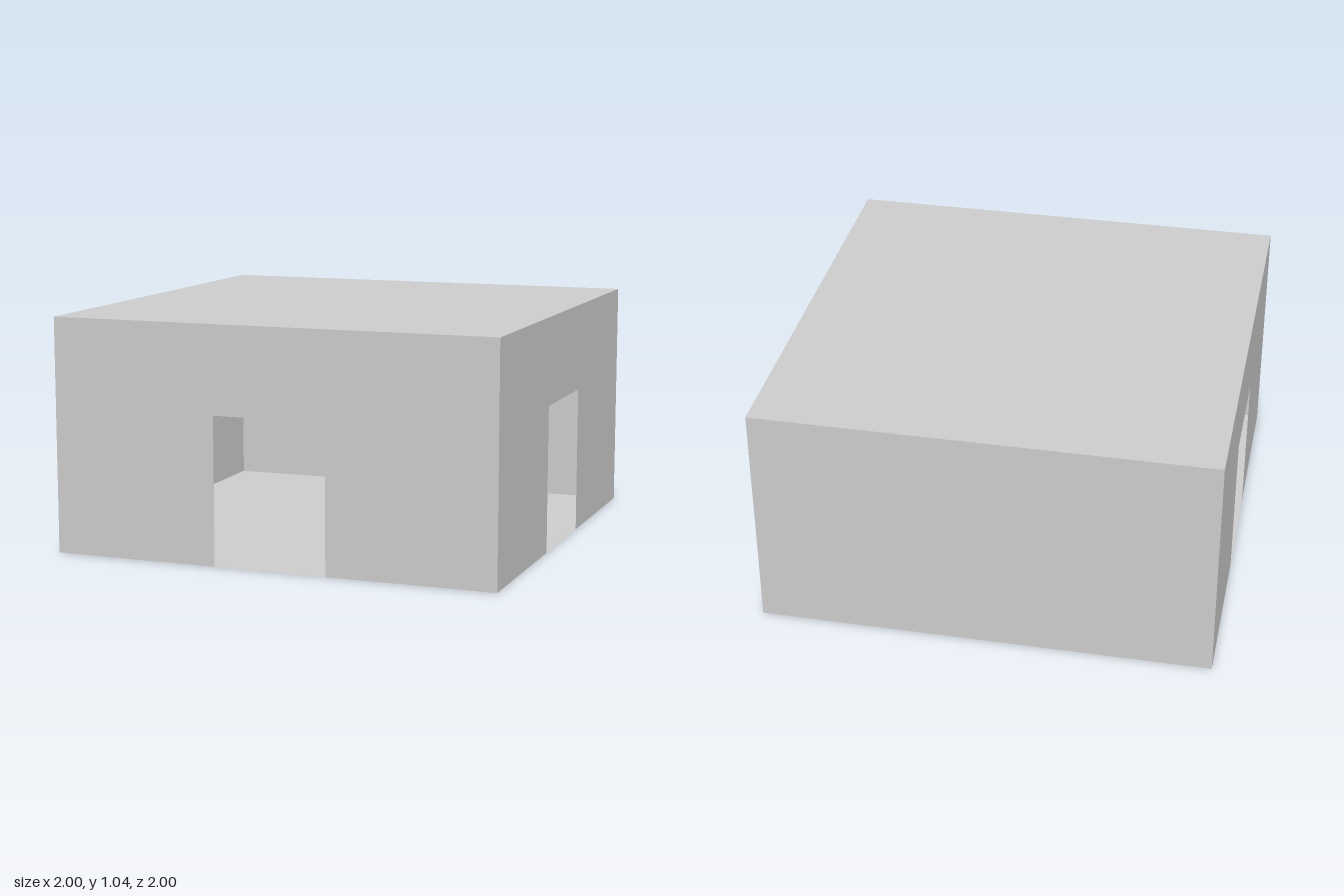
import * as THREE from 'three';

const HALF = 1, HEIGHT = 1.04, DOOR_HALF = 0.253, DOOR_HEIGHT = 0.652;

export function createModel() {
  const group = new THREE.Group();
  const material = new THREE.MeshStandardMaterial({ color: 0xcccccc, side: THREE.DoubleSide, flatShading: true });

  // Thin wall facing outwards at the given turn, optionally with a doorway
  function addWall(name, turn, hasDoor) {
    const shape = new THREE.Shape().moveTo(-HALF, 0);
    if (hasDoor) {
      shape.lineTo(-DOOR_HALF, 0).lineTo(-DOOR_HALF, DOOR_HEIGHT)
        .lineTo(DOOR_HALF, DOOR_HEIGHT).lineTo(DOOR_HALF, 0);
    }
    shape.lineTo(HALF, 0).lineTo(HALF, HEIGHT).lineTo(-HALF, HEIGHT).closePath();
    const geometry = new THREE.ShapeGeometry(shape).translate(0, 0, HALF).rotateY(turn);
    const wall = new THREE.Mesh(geometry, material);
    wall.name = name;
    group.add(wall);
  }
  addWall('frontWall', 0, true);
  addWall('leftWall', Math.PI / 2, true);
  addWall('backWall', Math.PI, false);
  addWall('rightWall', -Math.PI / 2, true);

  // Floor faces down, roof faces up
  for (const [name, y, tilt] of [['floor', 0, Math.PI / 2], ['roof', HEIGHT, -Math.PI / 2]]) {
    const geometry = new THREE.PlaneGeometry(2 * HALF, 2 * HALF).rotateX(tilt).translate(0, y, 0);
    const slab = new THREE.Mesh(geometry, material);
    slab.name = name;
    group.add(slab);
  }
  return group;
}
